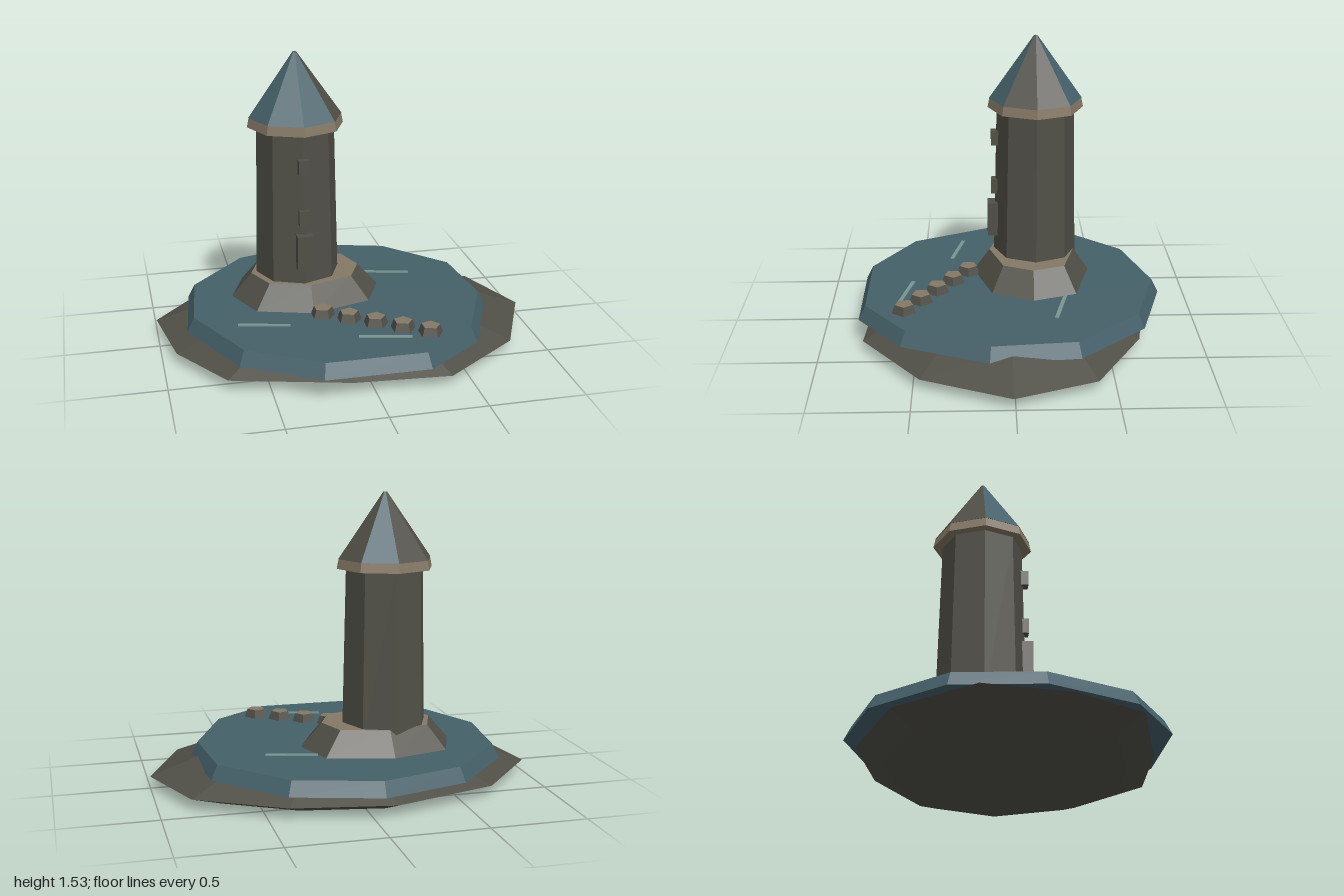
import * as THREE from 'three';

const mat = (name, color) => {
  const m = new THREE.MeshStandardMaterial({ color, flatShading: true });
  m.name = name;
  return m;
};

// Solid skinned through stacked rings of [x, y, z]; group 0 = sides and bottom, group 1 = top
function ringSolid(rings) {
  const pos = [];
  const tri = (...pts) => pts.forEach((p) => pos.push(...p));
  const n = rings[0].length;
  const middle = (r) => [0, 1, 2].map((k) => r.reduce((s, p) => s + p[k], 0) / n);
  const bottom = rings[0], top = rings[rings.length - 1];
  const cb = middle(bottom), ct = middle(top);
  for (let i = 0; i < n; i++) {
    const j = (i + 1) % n;
    for (let r = 0; r + 1 < rings.length; r++) {
      const lo = rings[r], hi = rings[r + 1];
      tri(lo[i], hi[i], lo[j]);
      tri(lo[j], hi[i], hi[j]);
    }
    tri(cb, bottom[i], bottom[j]);
  }
  const split = pos.length / 3;
  for (let i = 0; i < n; i++) tri(ct, top[(i + 1) % n], top[i]);
  const g = new THREE.BufferGeometry();
  g.setAttribute('position', new THREE.Float32BufferAttribute(pos, 3));
  g.addGroup(0, split, 0);
  g.addGroup(split, n * 3, 1);
  g.computeVertexNormals();
  return g;
}

// Outline scaled about a centre and placed at a height
const ring = (outline, y, s = 1, cx = 0, cz = 0) =>
  outline.map(([x, z]) => [cx + (x - cx) * s, y, cz + (z - cz) * s]);

export function createModel() {
  const stone = mat('dark stone', 0x504f47);
  const water = mat('teal slate', 0x456069);
  const tan = mat('tan trim', 0x857865);
  const foam = mat('pale foam', 0x7a9591);

  const model = new THREE.Group();
  const add = (name, geometry, material, x = 0, y = 0, z = 0, parent = model) => {
    const m = new THREE.Mesh(geometry, material);
    m.name = name;
    m.position.set(x, y, z);
    parent.add(m);
    return m;
  };

  // Wide irregular rock under everything
  const rock = [[1, 0.01], [0.8, 0.465], [0.385, 0.775], [-0.11, 0.74], [-0.71, 0.58], [-0.93, 0.23],
    [-1, -0.2], [-0.67, -0.58], [-0.12, -0.75], [0.4, -0.66], [0.84, -0.41]];
  add('baseRock', ringSolid([ring(rock, 0, 0.81), ring(rock, 0.06), ring(rock, 0.17, 0.7)]), [stone, stone]);

  // Water slab
  const pool = [[0.77, 0.12], [0.58, 0.57], [0.27, 0.805], [-0.27, 0.805], [-0.65, 0.57], [-0.86, 0.12],
    [-0.81, -0.33], [-0.49, -0.685], [-0.04, -0.815], [0.41, -0.685], [0.73, -0.335]];
  add('waterSlab', ringSolid([ring(pool, 0.125), ring(pool, 0.2, 0.955, -0.04, 0)]), [water, water]);

  // Foam streaks
  [[-0.48, 0.293], [0.095, 0.56], [0.30, -0.258]].forEach(([x, z], i) => {
    add('foamStreak' + (i + 1), new THREE.BoxGeometry(0.27, 0.008, 0.02), foam, x, 0.203, z).rotation.y = -0.23;
  });

  // Sloped plinth with a tan top
  const plinth = [[0.22, -0.12], [0.12, 0.1], [-0.2, 0.2], [-0.49, 0.11],
    [-0.59, -0.12], [-0.5, -0.36], [-0.2, -0.44], [0.14, -0.35]];
  add('plinth', ringSolid([ring(plinth, 0.2), ring(plinth, 0.325, 0.73, -0.19, -0.125)]), [stone, tan]);

  // Tower: shaft, tan eave band, and a roof with patchwork facets
  const tower = new THREE.Group();
  tower.name = 'tower';
  tower.position.set(-0.225, 0, -0.14);
  model.add(tower);
  add('shaft', new THREE.CylinderGeometry(0.208, 0.228, 0.94, 8), stone, 0, 0.67, 0, tower);
  add('eaveBand', new THREE.CylinderGeometry(0.247, 0.257, 0.05, 8), tan, 0, 1.165, 0, tower);
  const roof = new THREE.CylinderGeometry(0.01, 0.249, 0.34, 8);
  const facets = [1, 0, 0, 1, 0, 0, 1, 1];
  roof.clearGroups();
  facets.forEach((m, i) => roof.addGroup(i * 6, 6, m));
  roof.addGroup(48, roof.index.count - 48, 0);
  add('roof', roof, [stone, water], 0, 1.36, 0, tower);

  // Door and windows, stacked on the front edge
  add('door', new THREE.BoxGeometry(0.085, 0.19, 0.06), stone, 0, 0.507, 0.23, tower);
  [0.695, 0.97].forEach((y, i) =>
    add('window' + (i + 1), new THREE.BoxGeometry(0.055, 0.08, 0.06), stone, 0, y, 0.21, tower));

  // Stepping stones leading away from the door
  for (let i = 0; i < 5; i++) {
    const g = new THREE.CylinderGeometry(0.05, 0.067, 0.045, 5);
    g.rotateY(Math.PI / 2);
    add('steppingStone' + (i + 1), g, [stone, tan, stone], -0.16 + i * 0.1225, 0.2225, 0.23 + i * 0.0825);
  }

  return model;
}
